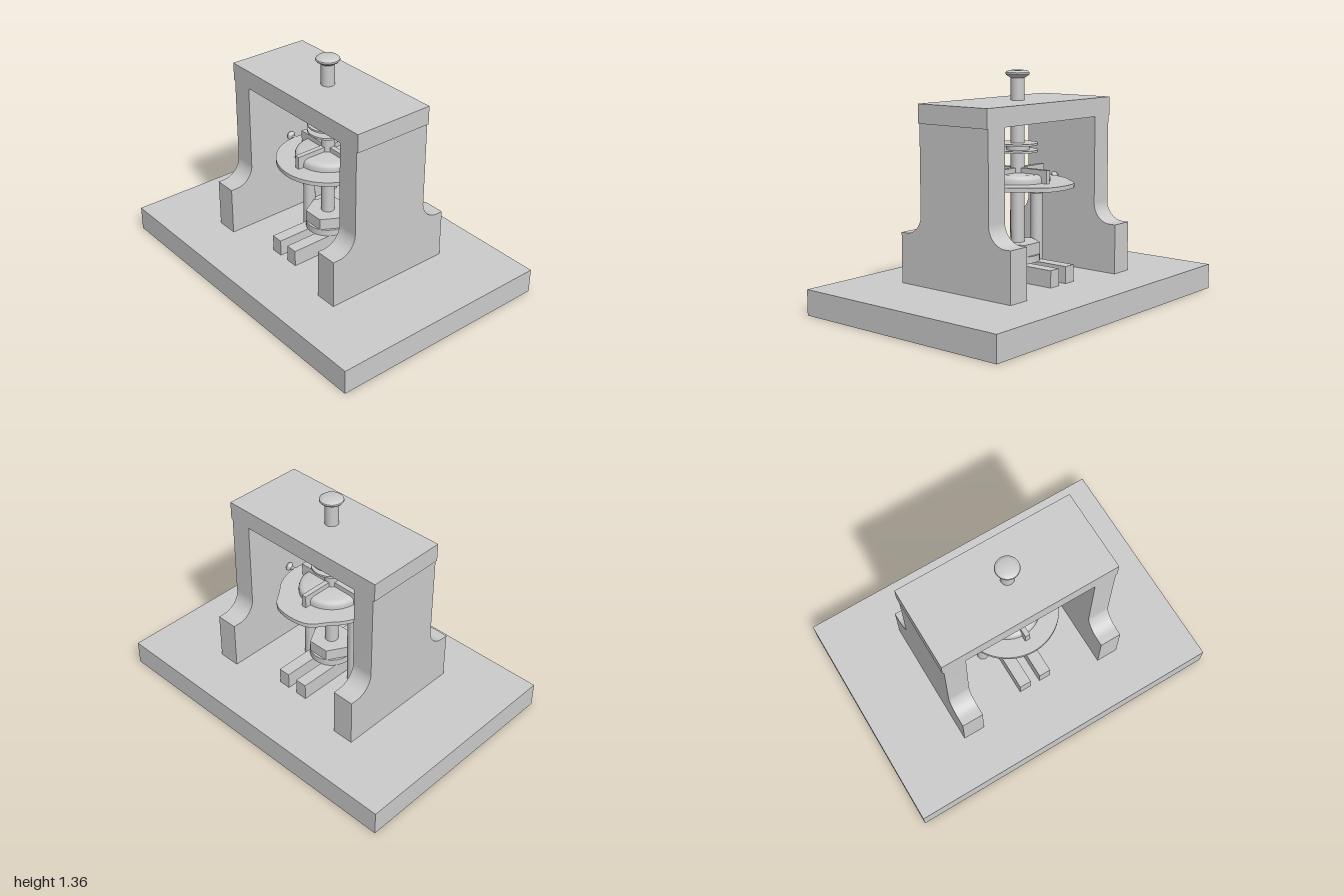
import * as THREE from 'three';
import { toCreasedNormals } from 'three/addons/utils/BufferGeometryUtils.js';

const material = new THREE.MeshStandardMaterial({ color: 0xcccccc });

export function createModel() {
  const model = new THREE.Group();

  const add = (name, geometry, x = 0, y = 0, z = 0) => {
    const mesh = new THREE.Mesh(geometry, material);
    mesh.name = name;
    mesh.position.set(x, y, z);
    model.add(mesh);
    return mesh;
  };
  // Box and upright cylinder given by their lower and upper heights
  const box = (name, w, y0, y1, d, x = 0, z = 0) =>
    add(name, new THREE.BoxGeometry(w, y1 - y0, d), x, (y0 + y1) / 2, z);
  const rod = (name, r, y0, y1, z = 0, sides = 40) =>
    add(name, new THREE.CylinderGeometry(r, r, y1 - y0, sides), 0, (y0 + y1) / 2, z);
  const lathe = (points, sides = 40) => toCreasedNormals(
    new THREE.LatheGeometry(points.map(([r, y]) => new THREE.Vector2(r, y)), sides), 0.6);

  // Base and bridge
  box('base', 1.4, 0, 0.15, 2);
  box('topBeam', 0.505, 1.075, 1.185, 1.11);

  // End walls with concave shoulders above wide feet
  const wall = new THREE.Shape();
  wall.moveTo(-0.405, 0.15);
  wall.lineTo(0.405, 0.15);
  wall.lineTo(0.405, 0.445);
  wall.lineTo(0.367, 0.445);
  wall.absarc(0.367, 0.56, 0.115, -Math.PI / 2, -Math.PI, true);
  wall.lineTo(0.252, 1.075);
  wall.lineTo(-0.252, 1.075);
  wall.lineTo(-0.252, 0.56);
  wall.absarc(-0.367, 0.56, 0.115, 0, -Math.PI / 2, true);
  wall.lineTo(-0.405, 0.445);
  wall.closePath();
  const wallGeometry = toCreasedNormals(
    new THREE.ExtrudeGeometry(wall, { depth: 0.135, bevelEnabled: false, curveSegments: 16 }), 0.6);
  add('frontWall', wallGeometry, 0, 0, 0.41);
  add('backWall', wallGeometry, 0, 0, -0.545);

  // Spindle with a mushroom head
  rod('spindle', 0.04, 0.25, 1.33);
  add('spindleHead', lathe([
    [0, 1.312], [0.04, 1.312], [0.064, 1.328], [0.07, 1.336], [0.068, 1.344],
    [0.058, 1.352], [0.045, 1.356], [0, 1.357],
  ]));

  // Grooved pulley
  rod('pulleyUpperFlange', 0.118, 0.928, 0.94);
  rod('pulleyHub', 0.068, 0.9, 0.928);
  rod('pulleyLowerFlange', 0.118, 0.888, 0.9);

  // Cam plate: a disc with a lobe towards +x
  const camPoints = [];
  for (let i = 0; i < 120; i++) {
    const a = (i / 120) * Math.PI * 2;
    const off = Math.min(a, Math.PI * 2 - a);
    const r = 0.345 - 0.045 * THREE.MathUtils.smoothstep(off, 0.28, 0.8);
    camPoints.push(new THREE.Vector2(r * Math.cos(a), r * Math.sin(a)));
  }
  const cam = new THREE.ExtrudeGeometry(new THREE.Shape(camPoints), { depth: 0.025, bevelEnabled: false });
  cam.rotateX(-Math.PI / 2);
  add('camPlate', toCreasedNormals(cam, 0.6), 0, 0.695, 0);

  // Rounded cushion and crossed ribs on the plate
  add('cushion', lathe([
    [0.19, 0.718], [0.19, 0.742], [0.186, 0.755], [0.176, 0.764], [0.16, 0.768], [0, 0.768],
  ]));
  box('ribAlongX', 0.45, 0.72, 0.797, 0.03);
  box('ribAlongZ', 0.03, 0.72, 0.797, 0.45);

  // Thumb screws on the rim, guide columns with pins, and floor rails
  const screw = lathe([
    [0, 0], [0.011, 0], [0.011, 0.05], [0.018, 0.06], [0.027, 0.068],
    [0.027, 0.076], [0.018, 0.082], [0, 0.084],
  ], 24);
  for (const side of [1, -1]) {
    add('thumbScrew', screw, 0, 0.707, side * 0.278).rotation.x = side * Math.PI / 2;
    rod('guideColumn', 0.036, 0.15, 0.627, side * 0.177);
    rod('guidePin', 0.014, 0.627, 0.7, side * 0.177, 24);
    box('floorRail', 0.66, 0.15, 0.25, 0.074, 0, side * 0.069);
  }

  // Spindle foot: collar, hexagonal nut and floor boss
  rod('footCollar', 0.13, 0.25, 0.29);
  const nut = toCreasedNormals(new THREE.CylinderGeometry(0.132, 0.132, 0.07, 6), 0.4);
  add('hexNut', nut, 0, 0.325, 0);
  rod('floorBoss', 0.035, 0.15, 0.172);

  return model;
}
